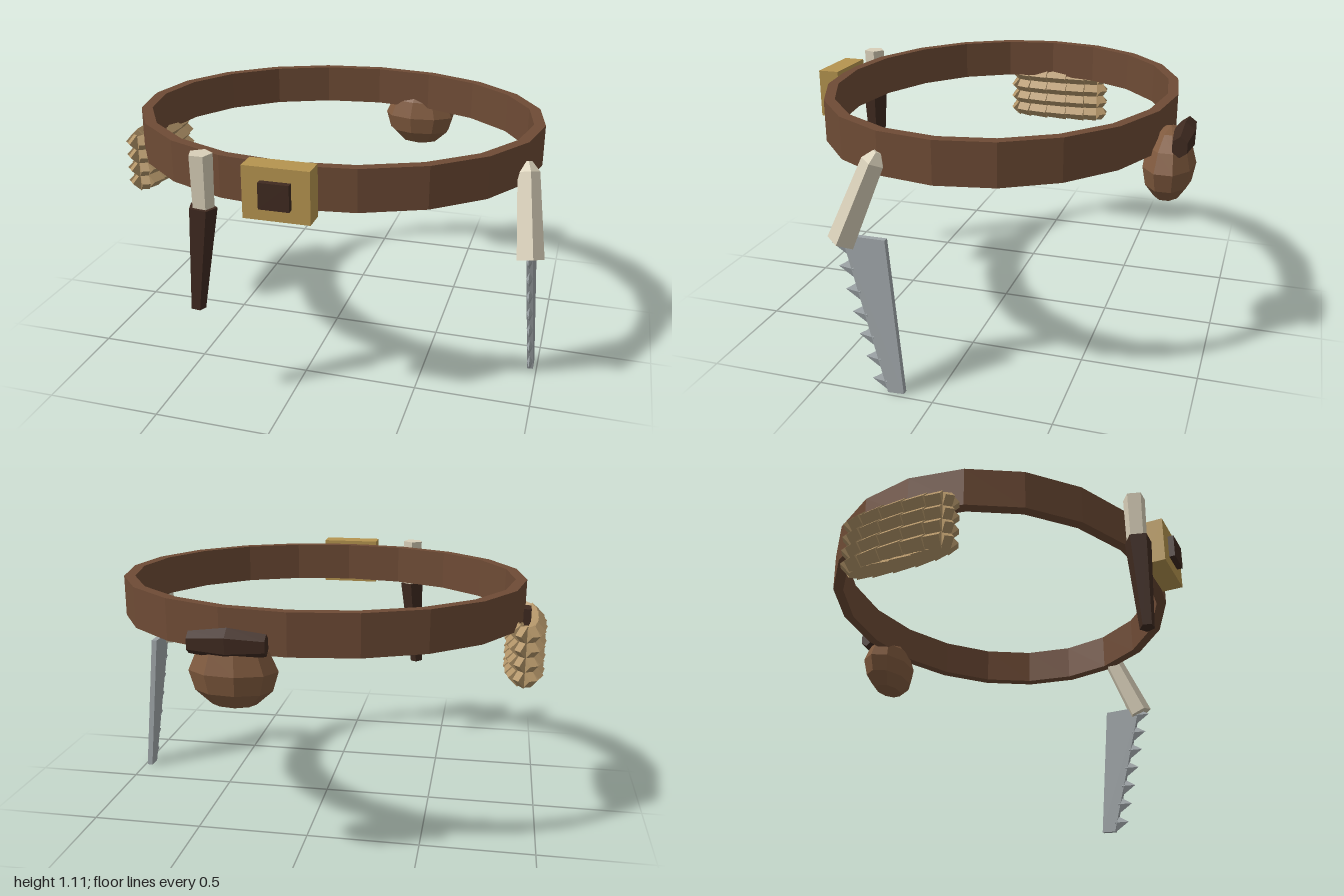
import * as THREE from 'three';

const mat = (color) => new THREE.MeshStandardMaterial({ color, flatShading: true });
const V = (x, y, z) => new THREE.Vector3(x, y, z);

export function createModel() {
  const root = new THREE.Group();
  const leather = mat(0x6e4b35), dark = mat(0x3f2a20), brass = mat(0xb5944f);
  const bone = mat(0xd8cfb8), steel = mat(0x9ea5a8), hemp = mat(0xb29468), hide = mat(0x805a3e);

  const add = (name, geometry, material, parent = root) => {
    const mesh = new THREE.Mesh(geometry, material);
    mesh.name = name;
    parent.add(mesh);
    return mesh;
  };
  const group = (name) => {
    const g = new THREE.Group();
    g.name = name;
    root.add(g);
    return g;
  };
  // box given by its min and max corners
  const box = (name, a, b, material, parent) => {
    const g = new THREE.BoxGeometry(b[0] - a[0], b[1] - a[1], b[2] - a[2]);
    g.translate((a[0] + b[0]) / 2, (a[1] + b[1]) / 2, (a[2] + b[2]) / 2);
    return add(name, g, material, parent);
  };
  // tapered rod from a to b, its sides oriented by a reference direction
  const rod = (name, a, b, ra, rb, sides, ref, material, parent) => {
    const dir = b.clone().sub(a), len = dir.length();
    dir.normalize();
    const side = dir.clone().cross(ref).normalize();
    const up = side.clone().cross(dir);
    const g = new THREE.CylinderGeometry(rb, ra, len, sides);
    g.applyMatrix4(new THREE.Matrix4().makeBasis(side, dir, up));
    g.translate((a.x + b.x) / 2, (a.y + b.y) / 2, (a.z + b.z) / 2);
    return add(name, g, material, parent);
  };

  // belt: twenty-sided oval band
  const oval = (rx, rz) => Array.from({ length: 20 }, (_, i) => {
    const t = (i / 20) * Math.PI * 2;
    return new THREE.Vector2(0.015 + rx * Math.cos(t), rz * Math.sin(t));
  });
  const band = new THREE.Shape(oval(0.918, 0.785));
  band.holes.push(new THREE.Path(oval(0.868, 0.74)));
  const bandGeo = new THREE.ExtrudeGeometry(band, { depth: 0.18, bevelEnabled: false });
  bandGeo.rotateX(-Math.PI / 2).translate(0, 0.91, 0);
  add('belt', bandGeo, leather);

  // buckle
  const buckle = group('buckle');
  box('bucklePlate', [-0.125, 0.89, 0.775], [0.15, 1.107, 0.87], brass, buckle);
  box('buckleCentre', [-0.05, 0.945, 0.86], [0.075, 1.053, 0.897], dark, buckle);

  // sheathed knife
  const knife = group('knife');
  const back = V(0, 0, -1);
  rod('knifeSheath', V(-0.355, 0.445, 0.83), V(-0.32, 0.89, 0.808), 0.032, 0.06, 5, back, dark, knife);
  rod('knifeHandle', V(-0.32, 0.885, 0.803), V(-0.32, 1.112, 0.803), 0.046, 0.05, 5, back, bone, knife);

  // pouch with a bulging flap
  const pouch = group('pouch');
  const bag = new THREE.SphereGeometry(1, 9, 6);
  const p = bag.attributes.position;
  for (let i = 0; i < p.count; i++) {
    const y = p.getY(i), w = y > 0 ? 1 - 0.15 * y : 1;
    p.setXYZ(i, 0.23 + p.getX(i) * 0.183 * w, 0.852 + y * 0.163, -0.79 + p.getZ(i) * 0.112 * w);
  }
  add('pouchBag', bag, hide, pouch);
  const flap = new THREE.CylinderGeometry(1, 1, 0.31, 6, 2);
  const f = flap.attributes.position;
  for (let i = 0; i < f.count; i++) {
    const s = Math.abs(f.getY(i)) > 0.1 ? 0.7 : 1;
    f.setXYZ(i, f.getX(i) * 0.05 * s, f.getY(i), f.getZ(i) * 0.064 * s);
  }
  flap.rotateZ(-Math.PI / 2).rotateX(Math.PI / 2).translate(0.235, 0.972, -0.848);
  add('pouchFlap', flap, dark, pouch);

  // coiled rope: four stacked lens-shaped loops of diamond-section strands
  const rope = group('ropeCoil');
  const N = 14;
  const loopPoint = (i, y) => {
    const t = ((i + 0.5) / N) * Math.PI * 2, c = Math.cos(t);
    return V(-0.91 + 0.052 * Math.sign(c) * Math.pow(Math.abs(c), 0.7), y, -0.025 + 0.24 * Math.sin(t));
  };
  for (let row = 0; row < 4; row++) {
    const y = 0.708 + row * 0.065;
    for (let i = 0; i < N; i++) {
      rod('ropeStrand', loopPoint(i, y), loopPoint(i + 1, y), 0.041, 0.034, 4, V(0, 1, 0), hemp, rope);
    }
  }
  box('ropeStrap', [-0.93, 0.89, -0.04], [-0.88, 0.965, 0.04], dark, rope);

  // saw handle with a pointed end
  const saw = group('saw');
  const top = V(0.892, 0.965, 0.255), low = V(0.938, 0.632, 0.388);
  const axis = top.clone().sub(low).normalize();
  rod('sawHandle', low, top, 0.061, 0.05, 5, V(1, 0, 0), bone, saw);
  rod('sawHandleTip', top, top.clone().addScaledVector(axis, 0.045), 0.05, 0.018, 5, V(1, 0, 0), bone, saw);

  // saw blade, leaning slightly outward, teeth along its front edge
  const blade = new THREE.Group();
  blade.name = 'sawBlade';
  blade.position.x = 0.972;
  blade.rotation.z = 0.055;
  saw.add(blade);
  const outline = new THREE.Shape([[0.13, 0.004], [0.2, 0], [0.385, 0.665], [0.2, 0.665]]
    .map(([u, v]) => new THREE.Vector2(u, v)));
  const bladeGeo = new THREE.ExtrudeGeometry(outline, { depth: 0.026, bevelEnabled: false });
  bladeGeo.rotateY(-Math.PI / 2).translate(0.013, 0, 0);
  add('bladePlate', bladeGeo, steel, blade);
  for (let i = 0; i < 7; i++) {
    const y = 0.047 + i * 0.096;
    const tooth = new THREE.ConeGeometry(0.045, 0.07, 4);
    tooth.scale(0.34, 1, 1).rotateX(Math.PI / 2);
    tooth.translate(0, y, 0.2 + y * 0.278 + 0.025);
    add('sawTooth', tooth, steel, blade);
  }
  return root;
}
